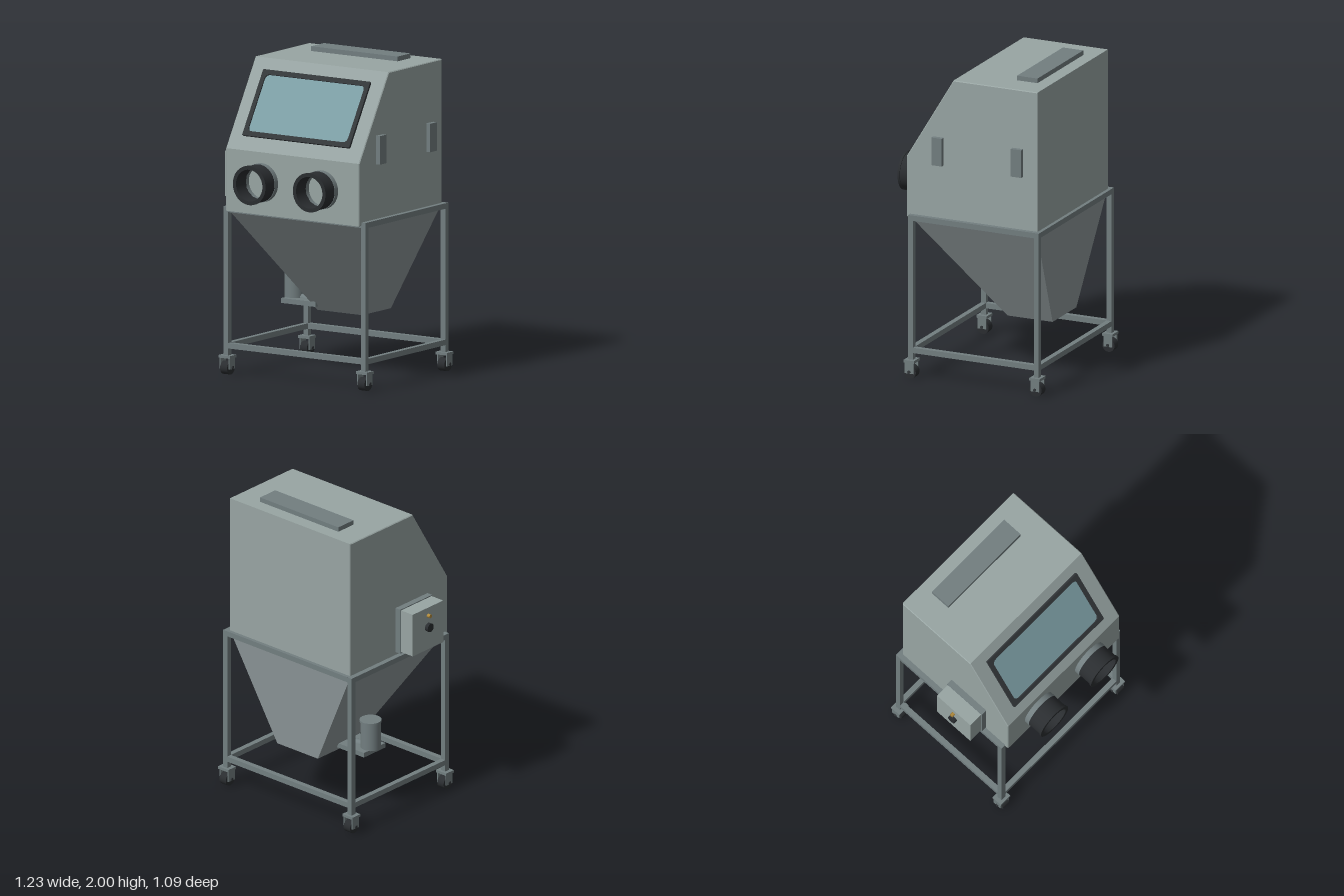
import * as THREE from 'three';

const mat = (color) => new THREE.MeshStandardMaterial({ color });
const BODY = mat(0x98a5a3), STEEL = mat(0x727e80), DARK = mat(0x33373a), RUBBER = mat(0x2a2d30);
const GLASS = mat(0x7d9fa6), BRASS = mat(0xb08a3c), GREY = mat(0x8d9799);
const CX = 0.049; // centre of the cabinet in x

function add(parent, name, geometry, material, x = 0, y = 0, z = 0) {
  const mesh = new THREE.Mesh(geometry, material);
  mesh.name = name;
  mesh.position.set(x, y, z);
  parent.add(mesh);
  return mesh;
}

// Box given by its limits on each axis
function block(parent, name, material, [x0, x1], [y0, y1], [z0, z1]) {
  return add(parent, name, new THREE.BoxGeometry(x1 - x0, y1 - y0, z1 - z0), material,
    (x0 + x1) / 2, (y0 + y1) / 2, (z0 + z1) / 2);
}

function roundedRect(path, w, h, r) {
  const x = w / 2, y = h / 2;
  path.moveTo(-x + r, -y);
  path.lineTo(x - r, -y);
  path.quadraticCurveTo(x, -y, x, -y + r);
  path.lineTo(x, y - r);
  path.quadraticCurveTo(x, y, x - r, y);
  path.lineTo(-x + r, y);
  path.quadraticCurveTo(-x, y, -x, y - r);
  path.lineTo(-x, -y + r);
  path.quadraticCurveTo(-x, -y, -x + r, -y);
  return path;
}

// Cabinet: side profile (z, y) extruded across the width
function cabinet() {
  const b = 0.005;
  const profile = new THREE.Shape([
    [-0.495 + b, 1.04 + b], [0.41 - b, 1.04 + b], [0.41 - b, 1.437 - b / 2],
    [0.087 - b / 2, 1.97 - b], [-0.495 + b, 1.97 - b],
  ].map(([z, y]) => new THREE.Vector2(z, y)));
  const depth = 1.012 - 2 * b;
  return new THREE.ExtrudeGeometry(profile, { depth, bevelThickness: b, bevelSize: b, bevelSegments: 1 })
    .translate(0, 0, -depth / 2).rotateY(-Math.PI / 2);
}

// Hopper: box whose lower corners are drawn in
function hopper() {
  const g = new THREE.BoxGeometry(1, 1, 1);
  const p = g.attributes.position;
  for (let i = 0; i < p.count; i++) {
    const right = p.getX(i) > 0, top = p.getY(i) > 0, front = p.getZ(i) > 0;
    if (top) p.setXYZ(i, right ? 0.548 : -0.45, 1.045, front ? 0.39 : -0.488);
    else p.setXYZ(i, right ? 0.21 : -0.13, 0.37, front ? -0.12 : -0.432);
  }
  g.computeVertexNormals();
  return g;
}

// Sloped window, built facing +z and then leaned back
function viewingWindow() {
  const g = new THREE.Group();
  g.name = 'viewingWindow';
  const rim = roundedRect(new THREE.Shape(), 0.812, 0.449, 0.006);
  rim.holes.push(roundedRect(new THREE.Path(), 0.752, 0.385, 0.035));
  add(g, 'windowFrame', new THREE.ExtrudeGeometry(rim, { depth: 0.018, bevelEnabled: false }), DARK, 0, 0, -0.004);
  const pane = roundedRect(new THREE.Shape(), 0.756, 0.389, 0.035);
  add(g, 'windowGlass', new THREE.ExtrudeGeometry(pane, { depth: 0.008, bevelEnabled: false }), GLASS, 0, 0, -0.002);
  g.rotation.x = -Math.atan2(0.323, 0.533);
  g.position.set(CX - 0.002, 1.708, 0.246);
  return g;
}

// Hollow ring turned around z; points are [radius, z]
function ring(points) {
  const parts = [];
  points.forEach((p, i) => { // doubled points keep the edges sharp
    parts.push(new THREE.Vector2(...p));
    if (i > 0 && i < points.length - 1) parts.push(new THREE.Vector2(p[0], p[1] + 1e-5));
  });
  return new THREE.LatheGeometry(parts, 48).rotateX(Math.PI / 2);
}

function glovePort(x) {
  const g = new THREE.Group();
  g.name = 'glovePort';
  const collar = add(g, 'portCollar', ring([[0.1, 0], [0.122, 0], [0.122, 0.034], [0.1, 0.034], [0.1, 0]]), STEEL);
  const sleeve = add(g, 'portSleeve', ring([[0.1, 0.03], [0.119, 0.03], [0.119, 0.126], [0.124, 0.126],
    [0.124, 0.14], [0.1, 0.14], [0.1, 0.03]]), RUBBER);
  collar.material = STEEL.clone();
  sleeve.material = RUBBER.clone();
  collar.material.side = sleeve.material.side = THREE.DoubleSide;
  g.position.set(x, 1.246, 0.41);
  return g;
}

// Castor: mounting plate, fork cheeks, wheel and axle
function castor(x, z) {
  const g = new THREE.Group();
  g.name = 'castor';
  block(g, 'castorPlate', STEEL, [-0.043, 0.043], [0.105, 0.122], [-0.036, 0.036]);
  for (const s of [-1, 1]) {
    const cheek = block(g, 'forkCheek', STEEL, [-0.004, 0.004], [0.035, 0.106], [-0.03, 0.03]);
    cheek.position.x = s * 0.034;
  }
  add(g, 'wheel', new THREE.CylinderGeometry(0.042, 0.042, 0.054, 28).rotateZ(Math.PI / 2), RUBBER, 0, 0.042, 0);
  add(g, 'axle', new THREE.CylinderGeometry(0.01, 0.01, 0.088, 12).rotateZ(Math.PI / 2), DARK, 0, 0.046, 0);
  g.position.set(x, 0, z);
  return g;
}

function stand() {
  const g = new THREE.Group();
  g.name = 'stand';
  const xs = [-0.473, 0.569], zs = [-0.501, 0.369], t = 0.0172;
  for (const x of xs) for (const z of zs) {
    block(g, 'leg', STEEL, [x - t, x + t], [0.12, 1.062], [z - t, z + t]);
    g.add(castor(x, z));
  }
  for (const y of [0.183, 1.045]) {
    for (const z of zs) block(g, 'crossRail', STEEL, [xs[0] + t, xs[1] - t], [y - t, y + t], [z - t, z + t]);
    for (const x of xs) block(g, 'sideRail', STEEL, [x - t, x + t], [y - t, y + t], [zs[0] + t, zs[1] - t]);
  }
  return g;
}

// Electrical box on the cabinet's right side
function controlBox() {
  const g = new THREE.Group();
  g.name = 'controlBox';
  block(g, 'boxBackPlate', STEEL, [-0.497, -0.45], [1.082, 1.384], [-0.073, 0.224]);
  block(g, 'boxCover', BODY, [-0.595, -0.49], [1.092, 1.378], [-0.066, 0.218]);
  const knob = (name, r, material, y) =>
    add(g, name, new THREE.CylinderGeometry(r, r, 0.03, 24).rotateZ(Math.PI / 2), material, -0.603, y, 0.076);
  knob('switchKnob', 0.028, RUBBER, 1.246);
  knob('indicatorLamp', 0.012, BRASS, 1.325);
  return g;
}

// Media canister, its shelf and the pipe into the hopper
function mediaFeed() {
  const g = new THREE.Group();
  g.name = 'mediaFeed';
  add(g, 'canister', new THREE.CylinderGeometry(0.064, 0.064, 0.18, 36), STEEL, -0.336, 0.515, -0.17);
  add(g, 'canisterLid', new THREE.CylinderGeometry(0.069, 0.069, 0.014, 36), STEEL, -0.336, 0.608, -0.17);
  block(g, 'shelf', STEEL, [-0.37, -0.11], [0.397, 0.428], [-0.27, -0.07]);
  const pipe = add(g, 'feedPipe', new THREE.CylinderGeometry(0.029, 0.029, 0.2, 24).rotateZ(Math.PI / 2),
    STEEL, -0.2, 0.411, -0.17);
  pipe.rotation.z = -0.18;
  return g;
}

export function createModel() {
  const model = new THREE.Group();
  model.name = 'blastCabinet';
  add(model, 'cabinet', cabinet(), BODY, CX);
  add(model, 'hopper', hopper(), GREY);
  block(model, 'topLight', STEEL, [-0.28, 0.376], [1.965, 2], [-0.408, -0.267]);
  model.add(viewingWindow(), stand(), controlBox(), mediaFeed());
  for (const x of [-0.182, 0.273]) model.add(glovePort(x));
  // Door hinges on the left side
  for (const z of [0.19, -0.359])
    block(model, 'hinge', STEEL, [0.55, 0.584], [1.408, 1.588], [z - 0.036, z + 0.036]);
  return model;
}
